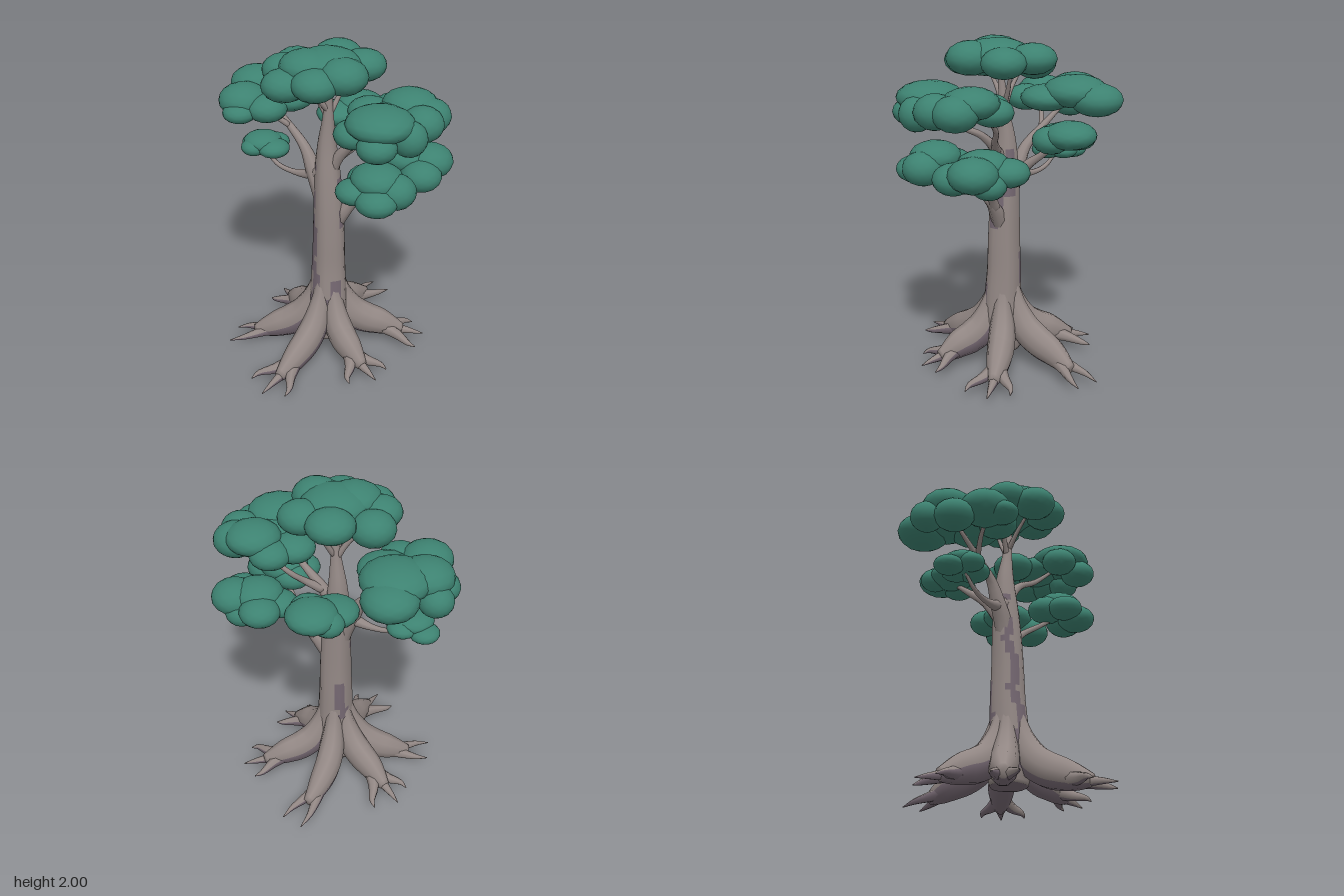
import * as THREE from 'three';

const bark = new THREE.MeshStandardMaterial({ color: 0x938885 });
bark.name = 'bark';
const darkBark = new THREE.MeshStandardMaterial({ color: 0x746771 });
darkBark.name = 'dark bark';
const leaf = new THREE.MeshStandardMaterial({ color: 0x3d8271 });
leaf.name = 'leaf green';

// Lofts a tapering limb through [x, y, z, radius] points; isDark(normal, y) picks the dark bark faces
function limb(name, pts, { sides = 9, steps = 6, tall = 1, ref = new THREE.Vector3(0, 1, 0), flute = 0, isDark = () => false } = {}) {
  const path = new THREE.CatmullRomCurve3(pts.map(p => new THREE.Vector3(p[0], p[1], p[2])), false, 'catmullrom', 0.5);
  const radii = new THREE.CatmullRomCurve3(pts.map((p, i) => new THREE.Vector3(p[3], i, 0)), false, 'catmullrom', 0.5);
  const n = (pts.length - 1) * steps;
  const pos = [], light = [], dark = [], normals = [];
  for (let i = 0; i <= n; i++) {
    const c = path.getPoint(i / n), t = path.getTangent(i / n);
    const r = Math.max(radii.getPoint(i / n).x, 0.002);
    const s = new THREE.Vector3().crossVectors(t, ref).normalize();
    const u = new THREE.Vector3().crossVectors(t, s).normalize();
    for (let j = 0; j < sides; j++) {
      const a = (j / sides) * Math.PI * 2;
      const d = s.clone().multiplyScalar(Math.cos(a)).addScaledVector(u, Math.sin(a) * tall);
      const v = c.clone().addScaledVector(d, r * (1 + flute * Math.sin(5 * a + i * 0.06)));
      pos.push(v.x, v.y, v.z);
      normals.push(d.normalize());
    }
  }
  for (let i = 0; i < n; i++) {
    for (let j = 0; j < sides; j++) {
      const k = (j + 1) % sides;
      const a = i * sides + j, b = i * sides + k, c = a + sides, d = b + sides;
      (isDark(normals[a], pos[a * 3 + 1]) ? dark : light).push(a, b, c, b, d, c);
    }
  }
  // End caps
  for (let j = 1; j < sides - 1; j++) {
    const e = n * sides;
    dark.push(0, j + 1, j);
    light.push(e, e + j, e + j + 1);
  }
  const g = new THREE.BufferGeometry();
  g.setAttribute('position', new THREE.Float32BufferAttribute(pos, 3));
  g.setIndex([...light, ...dark]);
  g.addGroup(0, light.length, 0);
  g.addGroup(light.length, dark.length, 1);
  g.computeVertexNormals();
  const m = new THREE.Mesh(g, [bark, darkBark]);
  m.name = name;
  return m;
}

// Dark bark patches on the trunk: [angle from front, low y, high y, half width]
const patches = [
  [-0.3, 0.15, 0.62, 0.3], [-0.55, 0.6, 0.95, 0.3], [-1.0, 0.95, 1.25, 0.35], [1.0, 0.33, 0.5, 0.3],
  [1.9, 0.88, 1.2, 0.4], [2.9, 1.05, 1.35, 0.6], [-2.3, 0.4, 0.7, 0.3],
];
const trunkDark = (nrm, y) => patches.some(([a, lo, hi, w]) => {
  const diff = Math.atan2(nrm.x, nrm.z) - a;
  return y > lo && y < hi && Math.abs(diff + 0.12 * Math.sin(y * 23)) < w;
});
const underside = nrm => nrm.y < -0.3;

// Toe layouts as [sideways offset, reach]
const threeToes = [[0, 0.66], [0.145, 0.59], [-0.12, 0.6]];
const forked = [[-0.07, 0.68], [0.07, 0.65]];

// A root that flows from the trunk out towards (x, z) and splits into toes; lift raises its far end
function root({ x, z, bend, lift, toes }) {
  const g = new THREE.Group();
  g.name = 'root';
  const ox = 0.05, oz = -0.01;
  const len = Math.hypot(x - ox, z - oz), dx = (x - ox) / len, dz = (z - oz) / len, k = len / 0.66;
  const at = (d, side, y, r) => {
    const w = side + bend * Math.sin(d * 5);
    return [ox + dx * d * k - dz * w, y + lift * Math.min(1, d * 3), oz + dz * d * k + dx * w, r];
  };
  g.add(limb('rootLimb', [
    at(0.04, 0, 0.52, 0.045), at(0.08, 0, 0.37, 0.06), at(0.15, 0, 0.235, 0.08), at(0.24, 0, 0.165, 0.083),
    at(0.34, 0, 0.125, 0.075), at(0.43, 0, 0.09, 0.056), at(0.51, 0, 0.065, 0.03),
  ], { tall: 1.25, sides: 10, steps: 4, isDark: underside }));
  for (const [side, reach] of toes) {
    g.add(limb('rootToe', [
      at(0.38, side * 0.1, 0.09, 0.045), at(0.47, side * 0.45, 0.068, 0.033),
      at((0.47 + reach) / 2 + 0.01, side * 0.9, 0.05, 0.018), at(reach, side, 0.032, 0.003),
    ], { sides: 7, steps: 3, isDark: underside }));
  }
  return g;
}

const roots = [
  { x: 0.2, z: 0.65, bend: -0.015, lift: -0.012, toes: threeToes },
  { x: -0.4, z: 0.41, bend: 0.02, lift: -0.025, toes: forked },
  { x: -0.54, z: -0.12, bend: -0.02, lift: 0.018, toes: threeToes },
  { x: -0.13, z: -0.65, bend: -0.05, lift: 0.015, toes: forked },
  { x: 0.45, z: -0.48, bend: -0.02, lift: 0.015, toes: threeToes },
  { x: 0.58, z: 0.08, bend: 0.02, lift: 0.015, toes: threeToes },
];

// Leaf clusters: overlapping flattened blobs [x, y, z, radius, half height]
const clusters = {
  crownFoliage: [
    [0.07, 1.9, 0.02, 0.2, 0.1], [-0.05, 1.89, -0.17, 0.14, 0.09], [0.15, 1.88, -0.18, 0.13, 0.09],
    [-0.19, 1.84, 0.02, 0.13, 0.1], [0.02, 1.91, 0.12, 0.16, 0.09], [0.23, 1.89, 0.05, 0.14, 0.1],
    [0, 1.83, 0.27, 0.13, 0.09], [0.17, 1.86, 0.2, 0.13, 0.09], [-0.13, 1.86, 0.16, 0.13, 0.09],
  ],
  upperRightFoliage: [
    [0.42, 1.7, -0.28, 0.16, 0.09], [0.29, 1.64, -0.29, 0.12, 0.08], [0.53, 1.66, -0.31, 0.13, 0.1],
    [0.59, 1.66, -0.2, 0.12, 0.1], [0.5, 1.7, 0.03, 0.19, 0.09], [0.63, 1.63, -0.06, 0.1, 0.1],
    [0.57, 1.61, 0.12, 0.11, 0.08], [0.39, 1.63, 0.12, 0.11, 0.08], [0.24, 1.64, -0.15, 0.13, 0.08],
    [0.42, 1.66, -0.12, 0.15, 0.08],
  ],
  upperLeftFoliage: [
    [-0.42, 1.66, -0.08, 0.2, 0.1], [-0.48, 1.62, -0.21, 0.16, 0.1], [-0.52, 1.65, 0.06, 0.16, 0.1],
    [-0.63, 1.57, 0, 0.1, 0.09], [-0.4, 1.62, 0.25, 0.15, 0.1], [-0.25, 1.6, 0.2, 0.12, 0.08],
    [-0.28, 1.62, 0.02, 0.16, 0.08], [-0.34, 1.58, 0.33, 0.1, 0.06], [-0.55, 1.55, 0.15, 0.12, 0.09],
  ],
  backFoliage: [
    [-0.13, 1.49, -0.43, 0.15, 0.08], [-0.17, 1.46, -0.29, 0.14, 0.07], [-0.05, 1.46, -0.36, 0.11, 0.08],
    [-0.22, 1.46, -0.4, 0.09, 0.07],
  ],
  lowerRightFoliage: [
    [0.48, 1.36, 0.02, 0.15, 0.09], [0.58, 1.31, -0.02, 0.12, 0.1], [0.56, 1.28, 0.1, 0.12, 0.08],
    [0.42, 1.3, 0.13, 0.11, 0.07], [0.39, 1.32, 0.0, 0.12, 0.08],
  ],
  lowerBackFoliage: [
    [0.37, 1.36, -0.32, 0.15, 0.09], [0.27, 1.33, -0.42, 0.12, 0.08], [0.48, 1.34, -0.4, 0.14, 0.1],
    [0.53, 1.3, -0.28, 0.12, 0.09], [0.4, 1.28, -0.43, 0.1, 0.08], [0.26, 1.32, -0.28, 0.12, 0.07],
  ],
  lowerLeftFoliage: [
    [-0.43, 1.3, 0.1, 0.12, 0.06], [-0.52, 1.26, 0.08, 0.09, 0.05], [-0.34, 1.28, 0.09, 0.1, 0.055],
    [-0.43, 1.28, 0.17, 0.08, 0.05], [-0.41, 1.28, 0.02, 0.09, 0.05],
  ],
};

// Branches as [x, y, z, radius] paths
const branches = {
  lowerLeftBranch: [[0.0, 1.22, 0, 0.05], [-0.08, 1.18, 0.02, 0.035], [-0.2, 1.16, 0.05, 0.018], [-0.32, 1.18, 0.08, 0.014], [-0.42, 1.26, 0.1, 0.008]],
  upperLeftBranch: [[0.03, 0.92, -0.01, 0.05], [0.0, 1.08, 0, 0.058], [-0.06, 1.21, 0.01, 0.05], [-0.13, 1.34, 0.02, 0.032], [-0.25, 1.44, 0.03, 0.022], [-0.42, 1.56, 0.05, 0.012]],
  upperLeftTwig: [[-0.25, 1.44, 0.03, 0.018], [-0.31, 1.52, 0.12, 0.014], [-0.36, 1.58, 0.22, 0.008]],
  backBranch: [[0.02, 1.1, -0.02, 0.045], [-0.05, 1.25, -0.1, 0.032], [-0.11, 1.34, -0.2, 0.02], [-0.14, 1.45, -0.33, 0.01]],
  lowerRightBranch: [[0.07, 0.85, -0.03, 0.04], [0.12, 0.97, -0.06, 0.045], [0.18, 1.06, -0.09, 0.032], [0.26, 1.14, -0.08, 0.02], [0.36, 1.21, -0.04, 0.016], [0.47, 1.29, 0.02, 0.008]],
  lowerBackBranch: [[0.15, 1.02, -0.08, 0.035], [0.21, 1.12, -0.14, 0.024], [0.28, 1.2, -0.22, 0.018], [0.37, 1.3, -0.33, 0.008]],
  upperRightBranch: [[0.05, 1.22, -0.02, 0.04], [0.11, 1.35, -0.04, 0.034], [0.22, 1.46, -0.06, 0.022], [0.33, 1.52, -0.04, 0.017], [0.46, 1.64, 0.02, 0.008]],
  upperBackBranch: [[0.11, 1.35, -0.04, 0.03], [0.18, 1.43, -0.13, 0.02], [0.22, 1.51, -0.21, 0.016], [0.32, 1.62, -0.28, 0.008]],
  crownLeftTwig: [[0.04, 1.58, -0.01, 0.02], [-0.02, 1.69, 0.02, 0.015], [-0.12, 1.81, 0.05, 0.008]],
  crownFrontTwig: [[0.05, 1.62, -0.01, 0.018], [0.04, 1.72, 0.08, 0.014], [0.04, 1.82, 0.18, 0.008]],
  crownBackTwig: [[0.05, 1.6, -0.02, 0.018], [0.06, 1.7, -0.08, 0.014], [0.08, 1.84, -0.15, 0.008]],
};

export function createModel() {
  const tree = new THREE.Group();
  tree.name = 'tree';

  tree.add(limb('trunk', [
    [0.05, 0.09, -0.01, 0.11], [0.05, 0.2, -0.01, 0.13], [0.055, 0.4, -0.01, 0.115], [0.05, 0.6, -0.015, 0.104],
    [0.05, 0.8, -0.015, 0.097], [0.045, 1.0, -0.015, 0.09], [0.035, 1.2, -0.015, 0.078], [0.03, 1.4, -0.015, 0.056],
    [0.045, 1.6, -0.01, 0.03], [0.06, 1.85, 0, 0.014],
  ], { sides: 20, steps: 5, ref: new THREE.Vector3(0, 0, 1), flute: 0.035, isDark: trunkDark }));

  for (const spec of roots) tree.add(root(spec));

  const ref = new THREE.Vector3(0.3, 0.1, 1).normalize();
  for (const [name, pts] of Object.entries(branches)) tree.add(limb(name, pts, { sides: 8, steps: 4, ref }));

  const blob = new THREE.IcosahedronGeometry(1, 2);
  for (const [name, blobs] of Object.entries(clusters)) {
    const cluster = new THREE.Group();
    cluster.name = name;
    blobs.forEach(([x, y, z, r, h], i) => {
      const m = new THREE.Mesh(blob, leaf);
      m.name = 'leafClump';
      m.position.set(x, y, z);
      m.scale.set(r, h, r);
      m.rotation.y = i * 1.3;
      cluster.add(m);
    });
    tree.add(cluster);
  }
  return tree;
}
